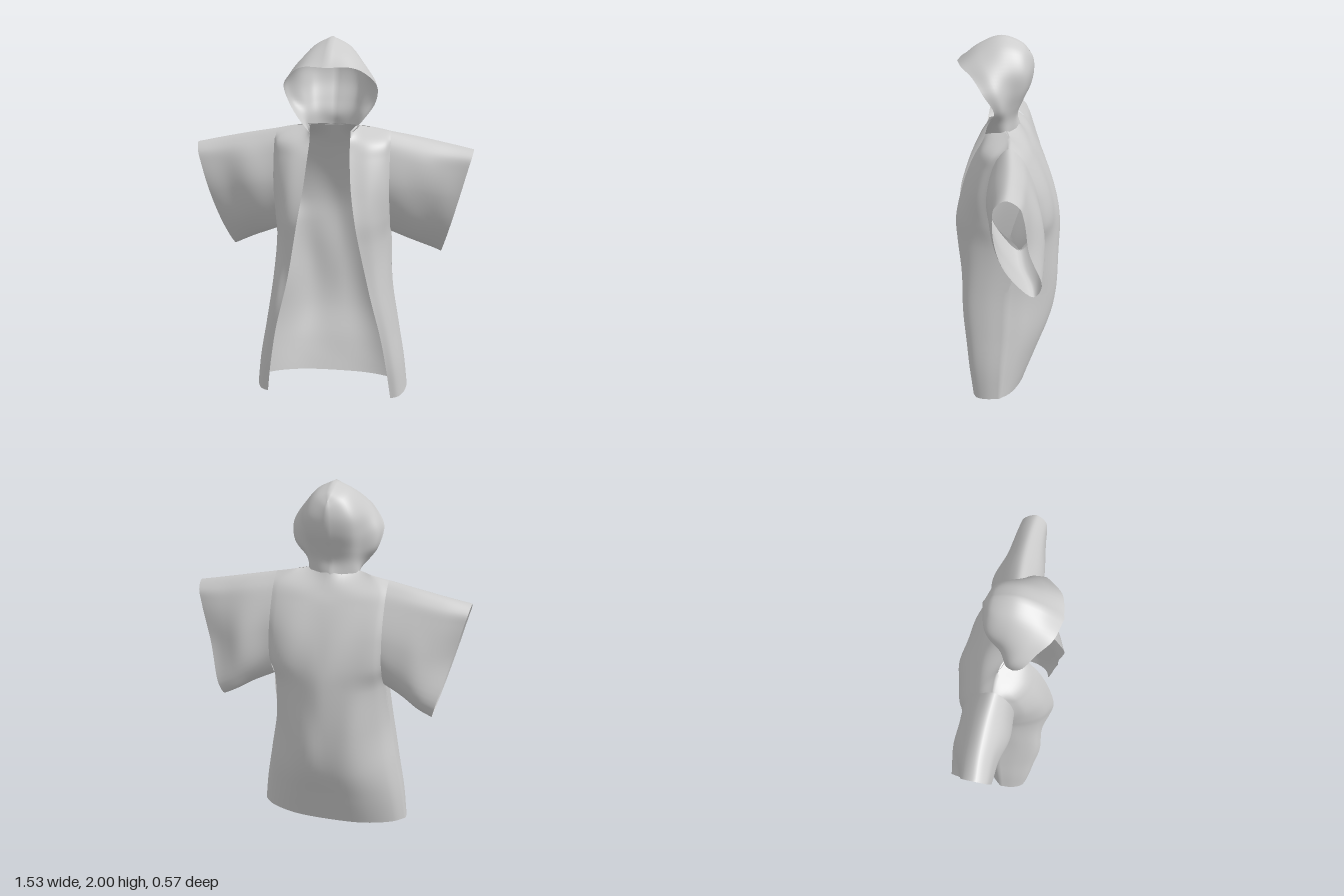
import * as THREE from 'three';
import { mergeGeometries, mergeVertices } from 'three/addons/utils/BufferGeometryUtils.js';

const cloth = new THREE.MeshStandardMaterial({ color: 0xcccccc, side: THREE.DoubleSide });
const V = (p) => new THREE.Vector3(...p);
const flip = ([x, y, z]) => [-x, y, z];

// Smooth sheet through a net of control points; every row has the same number of points.
function sheet(rows, nu, nv, closed = false) {
  const across = rows.map((r) => {
    const c = new THREE.CatmullRomCurve3(r.map(V), closed);
    return Array.from({ length: nu + 1 }, (_, i) => c.getPoint(i / nu));
  });
  const pos = [], idx = [];
  for (let i = 0; i <= nu; i++) {
    const c = new THREE.CatmullRomCurve3(across.map((r) => r[i]));
    for (let j = 0; j <= nv; j++) pos.push(...c.getPoint(j / nv).toArray());
  }
  for (let i = 0; i < nu; i++) {
    for (let j = 0; j < nv; j++) {
      const a = i * (nv + 1) + j, b = a + nv + 1;
      idx.push(a, b, b + 1, a, b + 1, a + 1);
    }
  }
  const g = new THREE.BufferGeometry();
  g.setAttribute('position', new THREE.Float32BufferAttribute(pos, 3));
  g.setIndex(idx);
  return g;
}

// Soft diagonal folds in the cloth
function addFolds(g) {
  const p = g.attributes.position;
  for (let i = 0; i < p.count; i++) {
    const x = p.getX(i), y = p.getY(i);
    const mask = Math.sin(Math.PI * THREE.MathUtils.clamp((y - 0.1) / 1.35, 0, 1));
    const fold = Math.sin(24 * x + 5 * y) + 0.6 * Math.sin(11 * y - 15 * Math.abs(x));
    p.setZ(i, p.getZ(i) + 0.007 * mask * fold);
  }
  return g;
}

function finish(geometries, name) {
  const g = mergeVertices(mergeGeometries(geometries), 1e-3);
  g.computeVertexNormals();
  const mesh = new THREE.Mesh(g, cloth);
  mesh.name = name;
  return mesh;
}

export function createModel() {
  const robe = new THREE.Group();
  robe.name = 'hoodedRobe';

  // Body levels: y, half width, opening x, front z, back z, side z of front, side z of back
  const levels = [
    [0.03, 0.43, 0.35, 0.19, -0.10, 0.04, 0.04],
    [0.20, 0.41, 0.325, 0.215, -0.165, 0.03, 0.03],
    [0.40, 0.375, 0.29, 0.235, -0.24, 0.02, 0.02],
    [0.65, 0.335, 0.23, 0.25, -0.27, 0, 0],
    [0.90, 0.32, 0.18, 0.27, -0.275, -0.06, -0.06],
    [1.04, 0.32, 0.155, 0.28, -0.262, 0.05, -0.165],
    [1.20, 0.32, 0.13, 0.25, -0.22, 0.1, -0.17],
    [1.36, 0.32, 0.115, 0.19, -0.15, 0.08, -0.115],
    [1.44, 0.32, 0.11, 0.145, -0.1, 0.045, -0.07],
  ];
  const backCurve = [1, 0.88, 0.42, 0];
  const front = [], back = [];
  for (const [y, w, ex, zf, zb, sf, sb] of levels) {
    const f = [], b = [];
    for (let k = 0; k <= 3; k++) {
      const a = (k * Math.PI) / 6, s = Math.sin(a), c = Math.max(0, Math.cos(a));
      const chest = c ** (y > 1 ? 1.3 : 1);
      f.push([ex + (w - ex) * s, y - (y < 0.1 ? 0.025 * c : 0), sf + (zf - sf) * chest]);
      b.push([w * s, y, sb + (zb - sb) * backCurve[k]]);
    }
    front.push(f);
    back.push(b);
  }
  // Shoulder seam closes front to back
  const seam = [[0.14, 1.52, 0.015], [0.22, 1.508, -0.01], [0.32, 1.488, -0.01]];
  front.push([[0.11, 1.505, 0.115], ...seam]);
  back.push([[0, 1.515, -0.055], ...seam]);

  const rightFront = front.map((r) => r.map(flip).reverse());
  const wholeBack = back.map((r) => [...r.slice(1).reverse(), ...r.map(flip)]);
  robe.add(finish([
    addFolds(sheet(front, 18, 72)),
    addFolds(sheet(wholeBack, 36, 72)),
    addFolds(sheet(rightFront, 18, 72)),
  ], 'robeBody'));

  // Wide sleeves: loops from armhole to cuff, starting at the top and passing the front
  const loops = [
    [[0.315, 1.489, -0.01], [0.315, 1.44, 0.047], [0.315, 1.36, 0.082], [0.315, 1.2, 0.102], [0.315, 1.04, 0.052],
      [0.315, 0.91, -0.06], [0.315, 1.04, -0.167], [0.315, 1.2, -0.172], [0.315, 1.36, -0.117], [0.315, 1.44, -0.072]],
    [[0.47, 1.46, -0.02], [0.475, 1.41, 0.045], [0.475, 1.33, 0.085], [0.47, 1.18, 0.1], [0.45, 0.99, 0.04],
      [0.44, 0.855, -0.1], [0.45, 0.95, -0.185], [0.47, 1.15, -0.18], [0.475, 1.33, -0.125], [0.475, 1.41, -0.085]],
    [[0.62, 1.43, -0.02], [0.615, 1.38, 0.045], [0.605, 1.3, 0.07], [0.585, 1.15, 0.075], [0.545, 0.95, 0.01],
      [0.52, 0.815, -0.13], [0.535, 0.9, -0.192], [0.575, 1.11, -0.155], [0.605, 1.3, -0.115], [0.615, 1.38, -0.085]],
    [[0.765, 1.4, -0.01], [0.755, 1.36, 0.045], [0.735, 1.29, 0.06], [0.695, 1.14, 0.052], [0.635, 0.92, -0.025],
      [0.595, 0.78, -0.14], [0.618, 0.86, -0.192], [0.685, 1.1, -0.122], [0.735, 1.29, -0.095], [0.755, 1.36, -0.075]],
  ];
  for (const [name, rows] of [
    ['leftSleeve', loops],
    ['rightSleeve', loops.map((r) => r.map(flip).reverse())],
  ]) robe.add(finish([addFolds(sheet(rows, 60, 28, true))], name));

  // Hood: arches from the pointed brim over the crown to the nape; each runs crown to neck
  const arches = [
    [[0, 1.86, 0.275], [0.12, 1.86, 0.245], [0.19, 1.825, 0.185], [0.25, 1.75, 0.125],
      [0.235, 1.65, 0.07], [0.18, 1.57, 0.105], [0.11, 1.49, 0.125]],
    [[0, 1.955, 0.16], [0.11, 1.915, 0.145], [0.195, 1.84, 0.1], [0.235, 1.75, 0.055],
      [0.22, 1.65, 0.035], [0.17, 1.57, 0.06], [0.13, 1.505, 0.075]],
    [[0, 2.0, 0.04], [0.1, 1.945, 0.03], [0.165, 1.84, 0], [0.17, 1.74, -0.01],
      [0.155, 1.64, 0], [0.14, 1.57, 0.01], [0.14, 1.51, 0.015]],
    [[0, 1.96, -0.07], [0.075, 1.92, -0.075], [0.12, 1.83, -0.09], [0.12, 1.74, -0.08],
      [0.105, 1.65, -0.05], [0.09, 1.58, -0.03], [0.09, 1.51, -0.025]],
    [[0, 1.92, -0.105], [0, 1.88, -0.125], [0, 1.82, -0.13], [0, 1.74, -0.115],
      [0, 1.65, -0.075], [0, 1.57, -0.045], [0, 1.505, -0.06]],
  ];
  robe.add(finish([
    sheet(arches, 32, 28),
    sheet(arches.map((r) => r.map(flip).reverse()), 32, 28),
  ], 'hood'));

  return robe;
}
